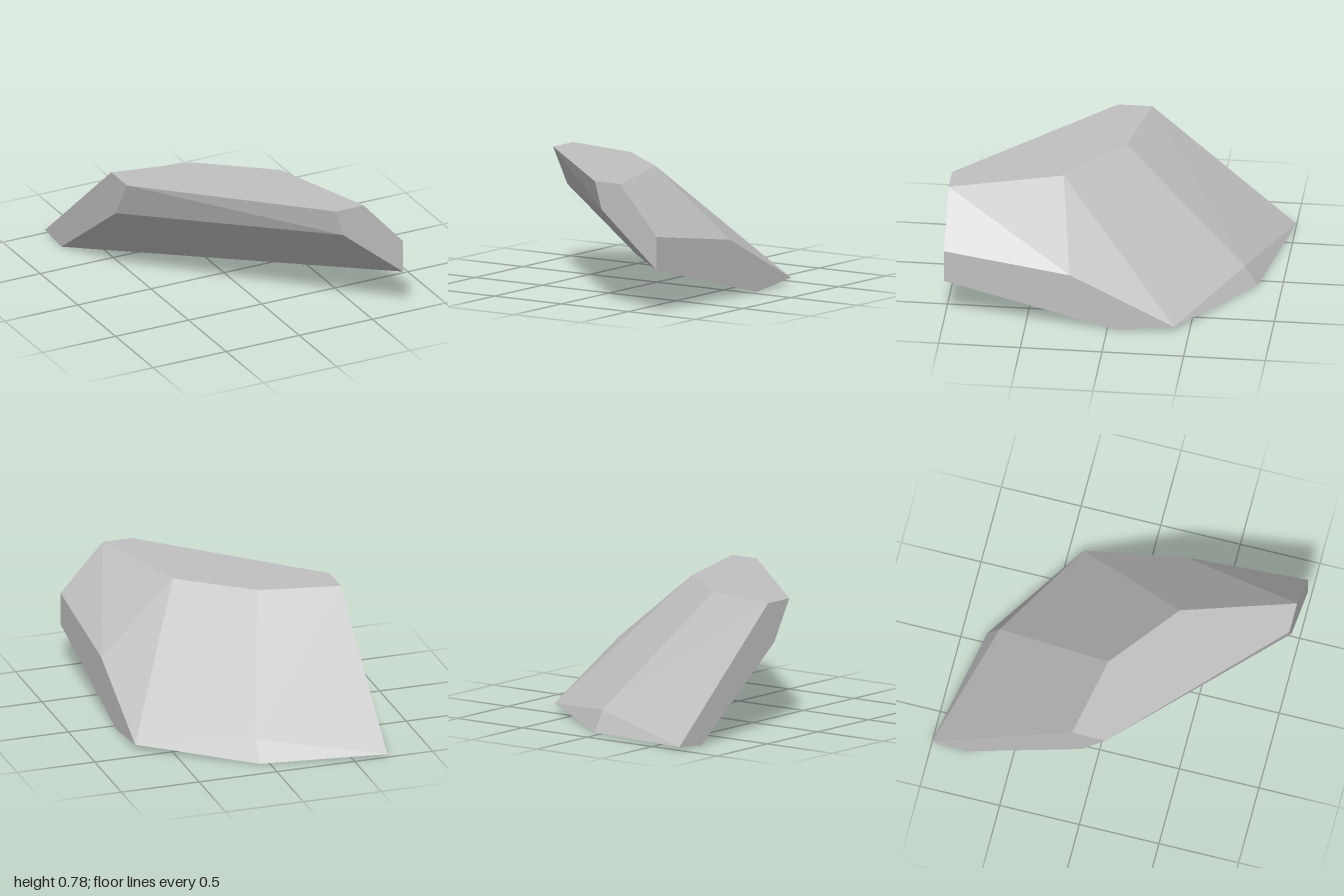
import * as THREE from 'three';
import { ConvexGeometry } from 'three/addons/geometries/ConvexGeometry.js';

// One faceted boulder, described by the corners of its flat cut planes.
export function createModel() {
  const group = new THREE.Group();
  group.name = 'boulder';

  const corners = [
    // flat crown
    [0.25, 0.78, 1], [0.44, 0.78, 1], [0.22, 0.78, 0.32],
    [-0.21, 0.78, -0.02], [-0.71, 0.78, -0.12], [-0.71, 0.78, 0.09],
    // rest of the front cut
    [0.71, 0.48, 1], [0.71, 0.275, 1], [0.3, 0.61, 1],
    // +x side
    [0.71, 0.36, 0.23], [0.71, 0.04, -0.41],
    // -x side
    [-0.71, 0.53, -0.06], [-0.71, 0.02, -1],
    // back ridge
    [0.06, 0.13, -0.77],
    // resting face
    [0.71, 0, -0.05], [0.06, 0, -0.85], [-0.71, 0, -0.78],
  ].map((p) => new THREE.Vector3(...p));

  const stone = new THREE.MeshStandardMaterial({ color: 0xc0c0c0 });
  stone.name = 'stone grey';
  stone.flatShading = true;

  const rock = new THREE.Mesh(new ConvexGeometry(corners), stone);
  rock.name = 'rock';
  group.add(rock);
  return group;
}
